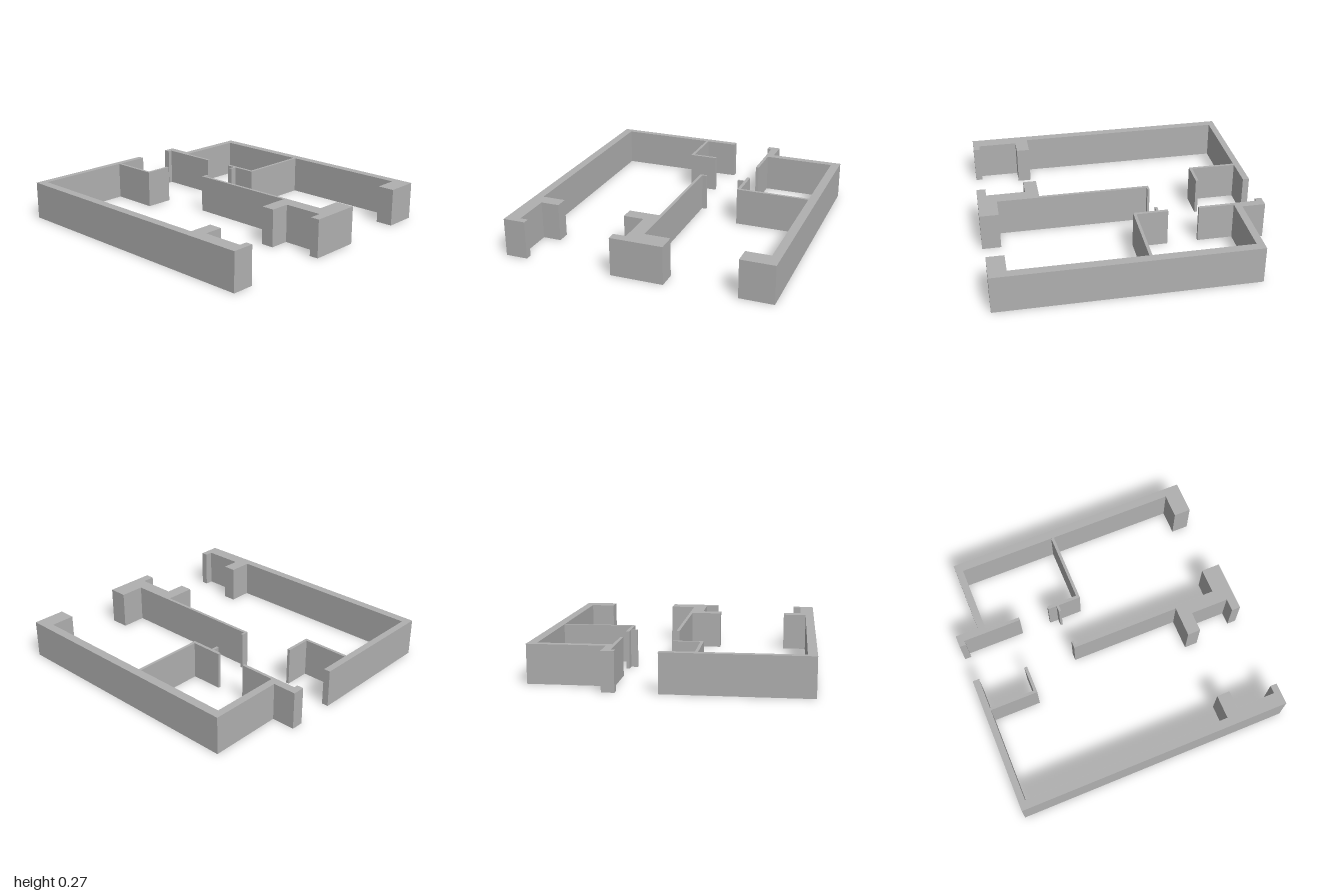
import * as THREE from 'three';

const HEIGHT = 0.27;

// Extrudes a floor-plan outline of [x, z] corners up to wall height.
function wall(name, outline, material) {
  const shape = new THREE.Shape(outline.map(([x, z]) => new THREE.Vector2(x, -z)));
  const geometry = new THREE.ExtrudeGeometry(shape, { depth: HEIGHT, bevelEnabled: false });
  geometry.rotateX(-Math.PI / 2);
  const mesh = new THREE.Mesh(geometry, material);
  mesh.name = name;
  return mesh;
}

export function createModel() {
  const group = new THREE.Group();
  group.name = 'floorPlanWalls';
  const plaster = new THREE.MeshStandardMaterial({ color: 0xb0b0b0 });
  plaster.name = 'grey plaster';

  // Outer wall on the -x side, with the back wall, closet partition and front piers
  group.add(wall('rightOuterWall', [
    [-0.95, -1], [0.043, -1], [0.043, -0.953], [-0.185, -0.953],
    [-0.185, -0.625], [0, -0.625], [0, -0.604], [-0.206, -0.604],
    [-0.206, -0.953], [-0.888, -0.953], [-0.888, 0.56], [-0.718, 0.56],
    [-0.718, 0.655], [-0.85, 0.655], [-0.85, 0.94], [-0.793, 0.94],
    [-0.793, 0.988], [-0.95, 0.988],
  ], plaster));

  // Thin central partition ending in thick piers at the front
  group.add(wall('centralPartition', [
    [0.004, -0.24], [0.058, -0.24], [0.058, -0.224], [0.026, -0.224],
    [0.026, 0.865], [0.207, 0.865], [0.207, 1], [-0.165, 1],
    [-0.165, 0.935], [-0.074, 0.935], [-0.074, 0.655], [-0.217, 0.655],
    [-0.217, 0.56], [0.004, 0.56],
  ], plaster));

  // Outer wall on the +x side, with the small back room and its door jambs
  group.add(wall('leftOuterWall', [
    [0.323, -1], [0.411, -1], [0.411, -0.832], [0.945, -0.832],
    [0.945, 0.988], [0.707, 0.988], [0.707, 0.865], [0.882, 0.865],
    [0.882, -0.056], [0.354, -0.056], [0.354, -0.222], [0.306, -0.222],
    [0.306, -0.24], [0.354, -0.24], [0.354, -0.304], [0.377, -0.304],
    [0.377, -0.077], [0.882, -0.077], [0.882, -0.78], [0.376, -0.78],
    [0.376, -0.526], [0.354, -0.526], [0.354, -0.952], [0.323, -0.952],
  ], plaster));

  return group;
}
